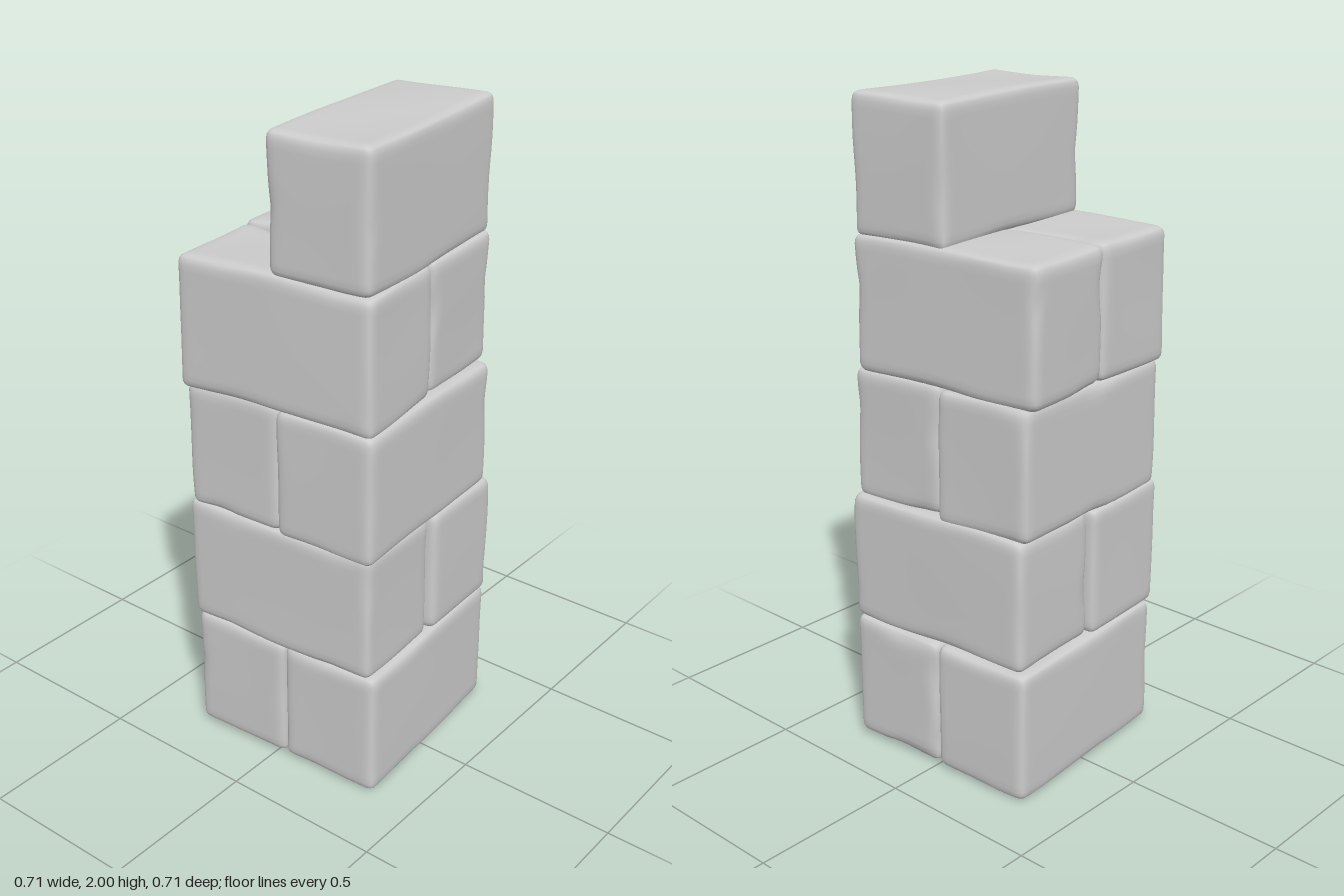
import * as THREE from 'three';
import { mergeVertices } from 'three/addons/utils/BufferGeometryUtils.js';

const WIDTH = 0.327, LENGTH = 0.645, HEIGHT = 0.404;

// Smooth wobble in roughly -1..1, different for every seed
function wobble(p, seed, freq) {
  return (Math.sin(p.x * freq + seed * 1.7 + 1.3 * Math.sin(p.y * freq * 0.8 + seed))
    + Math.sin(p.y * freq * 1.1 + seed * 2.3 + 1.1 * Math.sin(p.z * freq * 0.9 + seed * 0.6))
    + Math.sin(p.z * freq * 0.9 + seed * 3.1 + 1.2 * Math.sin(p.x * freq + seed * 1.4))) / 3;
}

// A worn stone block: a box with edges rounded by a varying radius and uneven faces
function blockGeometry(sx, sy, sz, seed) {
  const half = new THREE.Vector3(sx, sy, sz).multiplyScalar(0.5);
  const segs = (s) => (s > 0.5 ? 26 : 18);
  const box = new THREE.BoxGeometry(2, 2, 2, segs(sx), segs(sy), segs(sz));
  box.deleteAttribute('uv');
  box.deleteAttribute('normal');
  const geo = mergeVertices(box, 1e-5);
  const pos = geo.attributes.position;
  const p = new THREE.Vector3(), inner = new THREE.Vector3(), limit = new THREE.Vector3();
  for (let i = 0; i < pos.count; i++) {
    p.fromBufferAttribute(pos, i);
    // crowd the rows towards the edges, where the rounding is
    p.set(Math.sin(p.x * Math.PI / 2), Math.sin(p.y * Math.PI / 2), Math.sin(p.z * Math.PI / 2)).multiply(half);
    const w = wobble(p, seed, 17);
    const r = 0.03 + 0.009 * w + 0.03 * Math.max(0, w - 0.45);
    limit.copy(half).subScalar(r);
    inner.copy(p).clamp(limit.clone().negate(), limit);
    p.sub(inner);
    if (p.length() > r) p.setLength(r);
    p.add(inner);
    // gently uneven faces
    p.multiplyScalar(1 + 0.012 * wobble(p, seed + 5, 8));
    p.y += 0.004 * Math.sin(p.x * 9 + p.z * 7 + seed);
    pos.setXYZ(i, p.x, p.y, p.z);
  }
  geo.computeVertexNormals();
  return geo;
}

export function createModel() {
  const tower = new THREE.Group();
  tower.name = 'stonePillar';
  const material = new THREE.MeshStandardMaterial({ color: 0xcccccc });

  // Courses from the ground up; each block is [x, z] of its centre
  const courses = [
    { y: 0.213, yaw: 0.065, alongX: false, blocks: [[-0.150, 0.0], [0.176, -0.018]] },
    { y: 0.616, yaw: 0.065, alongX: true, blocks: [[0.018, 0.164], [0.014, -0.162]] },
    { y: 1.006, yaw: 0.07, alongX: false, blocks: [[-0.146, 0.014], [0.178, 0.008]] },
    { y: 1.402, yaw: 0.085, alongX: true, blocks: [[0.018, 0.176], [-0.018, -0.150]] },
    { y: 1.796, yaw: 0.09, alongX: false, blocks: [[0.152, 0.0]] },
  ];

  courses.forEach((course, level) => {
    const group = new THREE.Group();
    group.name = `course${level + 1}`;
    course.blocks.forEach(([x, z], k) => {
      const [sx, sz] = course.alongX ? [LENGTH, WIDTH] : [WIDTH, LENGTH];
      const block = new THREE.Mesh(blockGeometry(sx, HEIGHT, sz, level * 2 + k + 1), material);
      block.name = `block${level + 1}${'ab'[k]}`;
      block.position.set(x, course.y, z);
      block.rotation.y = course.yaw;
      group.add(block);
    });
    tower.add(group);
  });
  return tower;
}
